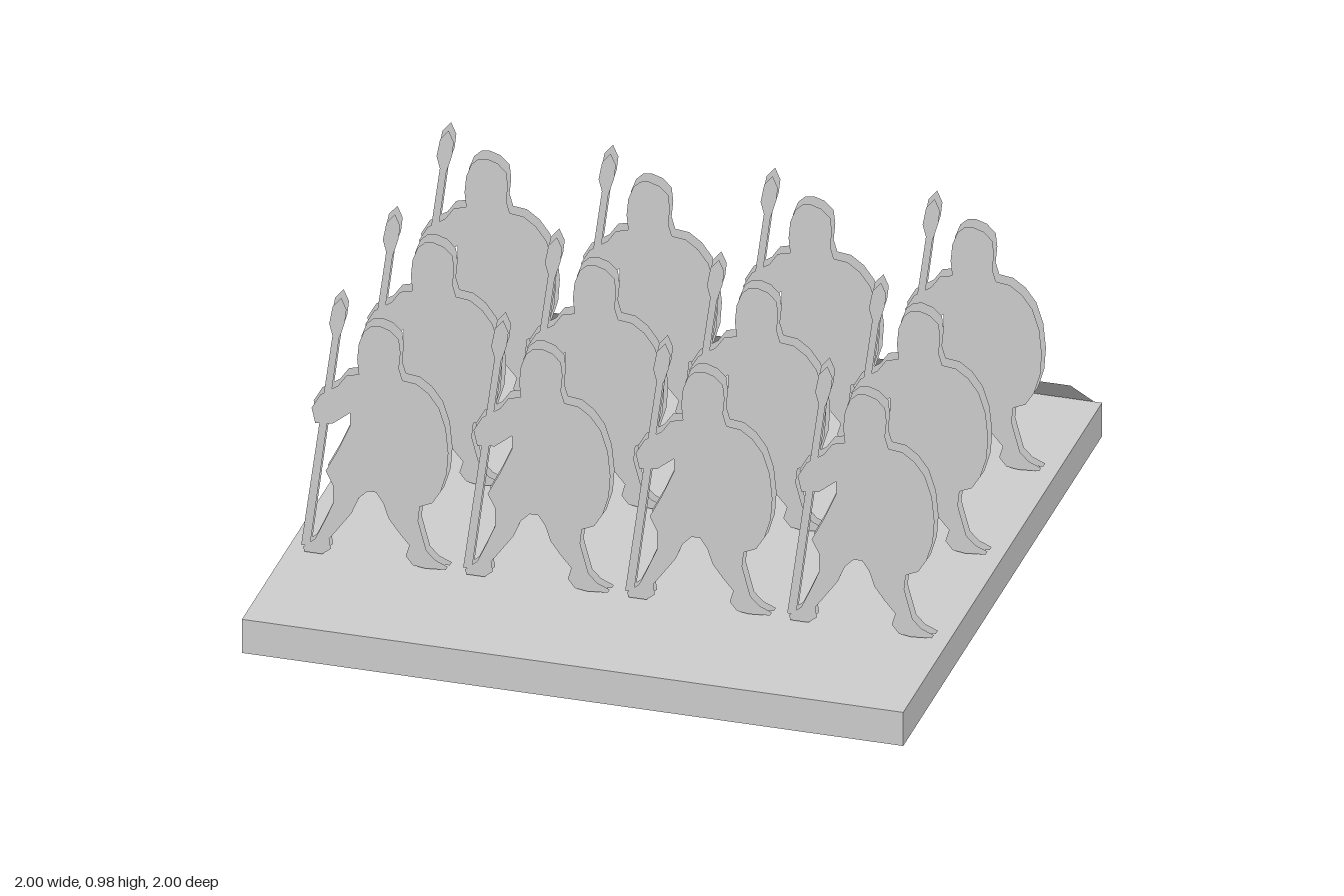
import * as THREE from 'three';

// Outlines in hundredths of a unit, x relative to the figure's centre
const BODY = [
  1.6, 90, 4.8, 89, 7.5, 86.4, 8, 82, 7.5, 76.8, 8.6, 73, 12.8, 72.5, 16.6, 69.8, // head, shoulder
  19.8, 65.5, 21.9, 59, 22.7, 51, 22.2, 44, 20.3, 37.7, 17.7, 33.5, 13.9, 31.8, // shield
  13.4, 27, 15, 21, 16, 17.4, 18.7, 14.7, 22.5, 13.1, 21.9, 12, 15.5, 11.5, 11.8, 12, // left leg
  9.6, 14.7, 10.7, 18.5, 7.5, 22.2, 4.3, 26.5, 2.7, 31.3, 0.5, 34.5, -2.1, 34.5,
  -4.8, 31.8, -7, 26.5, -11.2, 20.6, -13.9, 16.9, -13.4, 13.6, -16, 11.5, // right leg
  -21.4, 11.5, -22, 13, -18.2, 16.3, -15.5, 22.2, -12.8, 28.6, -12.8, 35, -15, 39.3,
  -11.2, 46.8, -7.5, 55.4, -7.5, 59.7, -12.8, 55.4, -18.2, 54.8, -19.3, 59.7, // arm and hand
  -16.6, 64.5, -11.2, 68.2, -8.6, 72, -4.8, 73, -5.3, 77.8, -4.8, 83.2, -3.2, 87.5, -1, 89.6,
];
const SHAFT = [-12.8, 85.3, -10.7, 85.3, -19.8, 13.6, -22.5, 13.6];
const BLADE = [-10.2, 97.6, -8.6, 94, -9.1, 89.6, -10.7, 84.3, -12.8, 84.3, -13.9, 88.5, -12.8, 94.4];

const FOOT = 0.115; // height of the soles
const GAP = 0.03;   // distance between the front and back sheets

function flatShape(numbers) {
  const points = [];
  for (let i = 0; i < numbers.length; i += 2) {
    points.push(new THREE.Vector2(numbers[i] / 100, numbers[i + 1] / 100 - FOOT));
  }
  return new THREE.ShapeGeometry(new THREE.Shape(points));
}

export function createModel() {
  const model = new THREE.Group();
  model.name = 'spearmenUnit';
  const grey = new THREE.MeshStandardMaterial({ color: 0xcccccc, side: THREE.DoubleSide });
  grey.name = 'plainGrey';

  const add = (parent, name, geometry) => {
    const mesh = new THREE.Mesh(geometry, grey);
    mesh.name = name;
    parent.add(mesh);
    return mesh;
  };

  // Square base
  add(model, 'base', new THREE.BoxGeometry(2, 0.11, 2)).position.y = 0.055;

  // Sloping label plate along the back edge, low side outward
  const rise = 0.175, run = 0.24;
  const plate = add(model, 'backPlate', new THREE.PlaneGeometry(1.96, Math.hypot(rise, run)));
  plate.rotation.set(-Math.PI / 2 - Math.atan2(rise, run), Math.PI, 0, 'YXZ');
  plate.rotation.set(-(Math.PI / 2 - Math.atan2(rise, run)), Math.PI, 0, 'YXZ');
  plate.position.set(0, 0.115 + rise / 2, -0.87);

  // Three ranks of four flat spearmen, each made of two sheets
  const parts = { body: flatShape(BODY), spearShaft: flatShape(SHAFT), spearBlade: flatShape(BLADE) };
  for (const z of [0.54, 0, -0.54]) {
    for (let column = 0; column < 4; column++) {
      const spearman = new THREE.Group();
      spearman.name = 'spearman';
      spearman.position.set(-0.733 + column * 0.49, FOOT, z);
      for (const side of [1, -1]) {
        const sheet = new THREE.Group();
        sheet.name = side > 0 ? 'frontSheet' : 'backSheet';
        sheet.position.z = side * GAP / 2;
        // the front sheet is a touch smaller
        if (side > 0) sheet.scale.set(0.985, 0.985, 1);
        for (const [name, geometry] of Object.entries(parts)) add(sheet, name, geometry);
        spearman.add(sheet);
      }
      model.add(spearman);
    }
  }
  return model;
}
